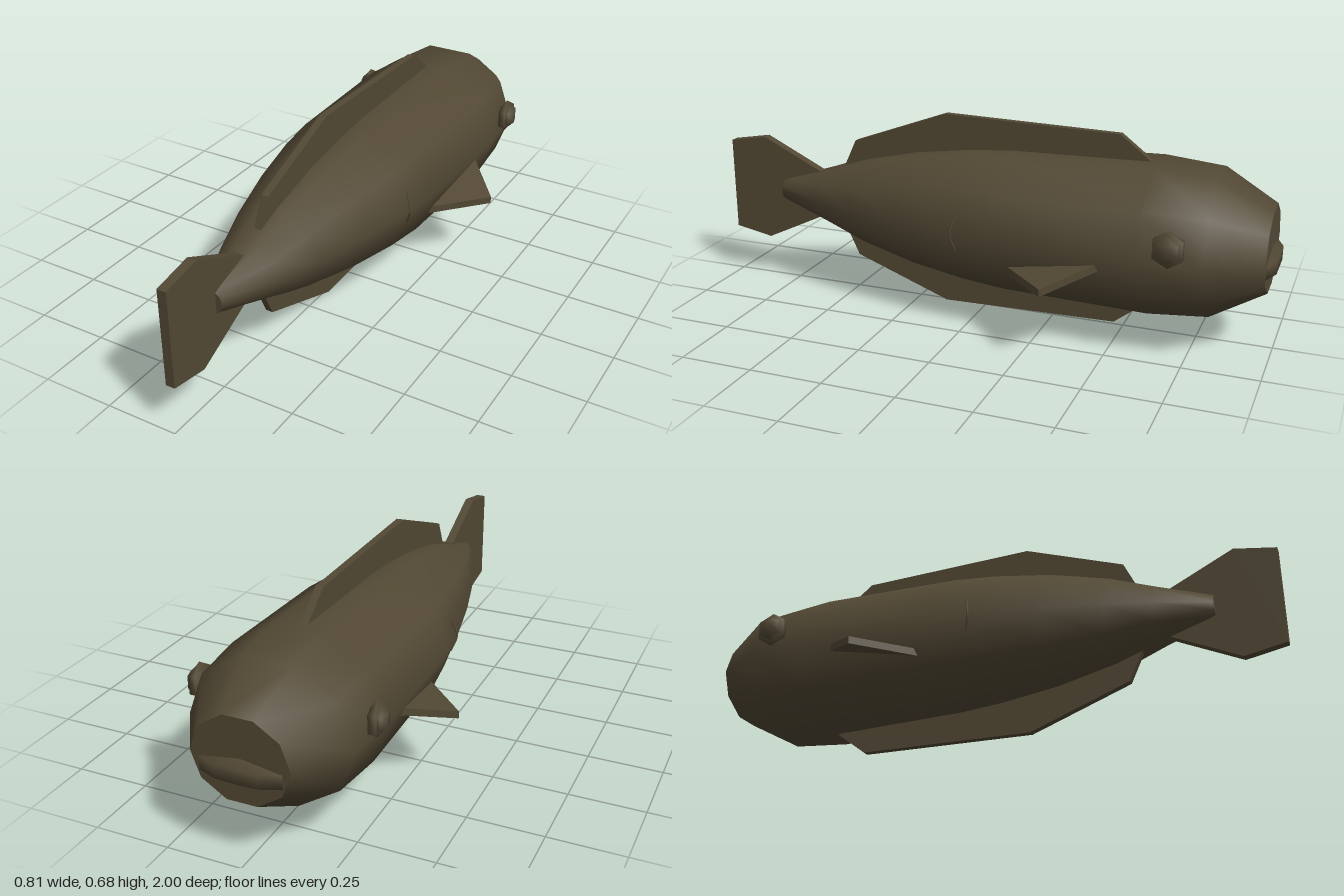
import * as THREE from 'three';

const skin = new THREE.MeshStandardMaterial({ color: 0x524834 });
skin.name = 'olive brown skin';

const MID = 0.343; // height of the body axis
const SIDES = 10;

// Body stations from snout to tail: [z, half width, half height]
const STATIONS = [
  [-0.975, 0.16, 0.143], [-0.8, 0.272, 0.242], [-0.6, 0.29, 0.26], [-0.1, 0.281, 0.248],
  [0.05, 0.26, 0.235], [0.25, 0.218, 0.205], [0.45, 0.165, 0.155], [0.6, 0.116, 0.1], [0.785, 0.04, 0.04],
];

function add(group, name, geometry) {
  const mesh = new THREE.Mesh(geometry, skin);
  mesh.name = name;
  group.add(mesh);
  return mesh;
}

// Smooth ten-sided skin lofted through the stations
function bodyGeometry() {
  const pos = [], index = [];
  STATIONS.forEach(([z, w, h], i) => {
    for (let j = 0; j < SIDES; j++) {
      const a = (j / SIDES) * Math.PI * 2;
      pos.push(Math.cos(a) * w, MID + Math.sin(a) * h, z);
      if (i === STATIONS.length - 1) continue;
      const p = i * SIDES + j, q = i * SIDES + ((j + 1) % SIDES);
      index.push(p, q, q + SIDES, p, q + SIDES, p + SIDES);
    }
  });
  const g = new THREE.BufferGeometry();
  g.setAttribute('position', new THREE.Float32BufferAttribute(pos, 3));
  g.setIndex(index);
  g.computeVertexNormals();
  return g;
}

// Flat end cap; direction is +1 for the tail and -1 for the snout
function capGeometry([z, w, h], direction) {
  const g = new THREE.CircleGeometry(1, SIDES);
  if (direction < 0) g.rotateY(Math.PI);
  return g.scale(w, h, 1).translate(0, MID, z);
}

function outline(points) {
  return new THREE.Shape(points.map(([u, v]) => new THREE.Vector2(u, v)));
}

// Upright plate on the centre plane from a (z, y) outline
function finGeometry(points, thickness) {
  return new THREE.ExtrudeGeometry(outline(points), { depth: thickness, bevelEnabled: false })
    .rotateY(-Math.PI / 2).translate(thickness / 2, 0, 0);
}

// Triangular side fin, tilted down towards tip and tail
function sideFinGeometry(s) {
  const tri = [[s * 0.23, 0.52], [s * 0.405, 0.33], [s * 0.23, 0.15]];
  const g = new THREE.ExtrudeGeometry(outline(tri), { depth: 0.025, bevelEnabled: false }).rotateX(-Math.PI / 2);
  const p = g.attributes.position;
  for (let i = 0; i < p.count; i++) {
    const x = Math.abs(p.getX(i)), z = p.getZ(i);
    p.setY(i, p.getY(i) + 0.237 - 0.185 * (x - 0.405) - 0.208 * (z + 0.33));
  }
  g.computeVertexNormals();
  return g;
}

function blob(rx, ry, rz, x, y, z) {
  return new THREE.SphereGeometry(1, 6, 3).scale(rx, ry, rz).translate(x, y, z);
}

export function createModel() {
  const fish = new THREE.Group();
  fish.name = 'fish';

  add(fish, 'body', bodyGeometry());
  add(fish, 'snoutCap', capGeometry(STATIONS[0], -1));
  add(fish, 'tailCap', capGeometry(STATIONS[STATIONS.length - 1], 1));
  add(fish, 'mouth', blob(0.162, 0.046, 0.037, 0, 0.307, -0.972));

  // Back and belly fins share one outline mirrored about the body axis
  const back = [[-0.6, 0.57], [-0.47, 0.67], [0.145, 0.683], [0.49, 0.556], [0.545, 0.44], [0.4, 0.44]];
  add(fish, 'backFin', finGeometry(back, 0.025));
  add(fish, 'bellyFin', finGeometry(back.map(([z, y]) => [z, 2 * MID - 0.003 - y]), 0.025));
  add(fish, 'tailFin', finGeometry(
    [[0.636, 0.428], [0.86, 0.535], [1, 0.51], [1, 0.176], [0.86, 0.15], [0.636, 0.257]], 0.032));

  for (const s of [1, -1]) {
    const side = s > 0 ? 'left' : 'right';
    add(fish, side + 'SideFin', sideFinGeometry(s));
    add(fish, side + 'EyeRim', blob(0.025, 0.061, 0.062, s * 0.293, 0.403, -0.7));
    add(fish, side + 'Eye', blob(0.025, 0.044, 0.046, s * 0.305, 0.403, -0.7));
    // Thin curved ridge on the flank
    const ridge = new THREE.CatmullRomCurve3([
      new THREE.Vector3(s * 0.246, 0.4, 0.014),
      new THREE.Vector3(s * 0.263, 0.345, 0.026),
      new THREE.Vector3(s * 0.246, 0.288, 0.014),
    ]);
    add(fish, side + 'FlankRidge', new THREE.TubeGeometry(ridge, 8, 0.004, 5));
  }
  return fish;
}
